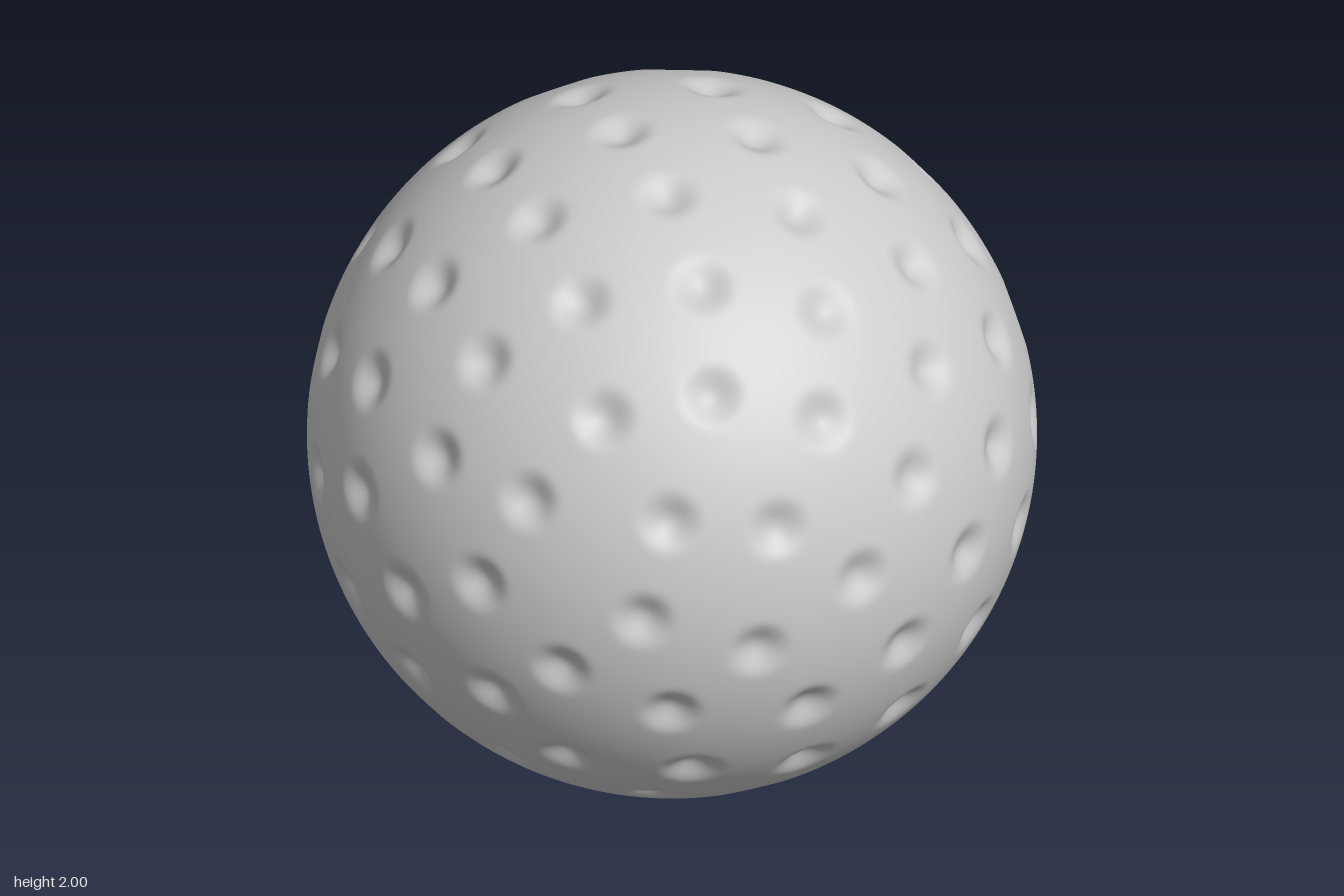
import * as THREE from 'three';
import { mergeVertices } from 'three/addons/utils/BufferGeometryUtils.js';

const DIMPLES = 120;
const RADIUS = 0.1;
const DEPTH = 0.034;

// Dimple centres on a golden-angle spiral running from front to back
function dimpleCentres() {
  const golden = Math.PI * (3 - Math.sqrt(5));
  return Array.from({ length: DIMPLES }, (_, i) => {
    const k = i + 0.5;
    const z = 1 - (2 * k) / DIMPLES;
    const r = Math.sqrt(1 - z * z);
    return new THREE.Vector3(r * Math.cos(k * golden), -r * Math.sin(k * golden), z);
  });
}

export function createModel() {
  const group = new THREE.Group();
  group.name = 'dimpledBall';

  const shell = new THREE.MeshStandardMaterial({ color: 0xcccccc });
  shell.name = 'light grey';

  // Evenly divided sphere with shared vertices for smooth normals
  let geometry = new THREE.IcosahedronGeometry(1, 74);
  geometry.deleteAttribute('uv');
  geometry.deleteAttribute('normal');
  geometry = mergeVertices(geometry, 1e-5);

  // Press a soft round bowl into the surface at every centre
  const centres = dimpleCentres();
  const position = geometry.attributes.position;
  const v = new THREE.Vector3();
  for (let i = 0; i < position.count; i++) {
    v.fromBufferAttribute(position, i).normalize();
    let nearest = Infinity;
    for (const c of centres) nearest = Math.min(nearest, v.distanceTo(c));
    const t = Math.min(nearest / RADIUS, 1);
    v.multiplyScalar(1 - DEPTH * 0.5 * (1 + Math.cos(Math.PI * t)));
    position.setXYZ(i, v.x, v.y, v.z);
  }
  geometry.computeVertexNormals();

  const ball = new THREE.Mesh(geometry, shell);
  ball.name = 'ball';
  ball.position.y = 1;
  group.add(ball);
  return group;
}
